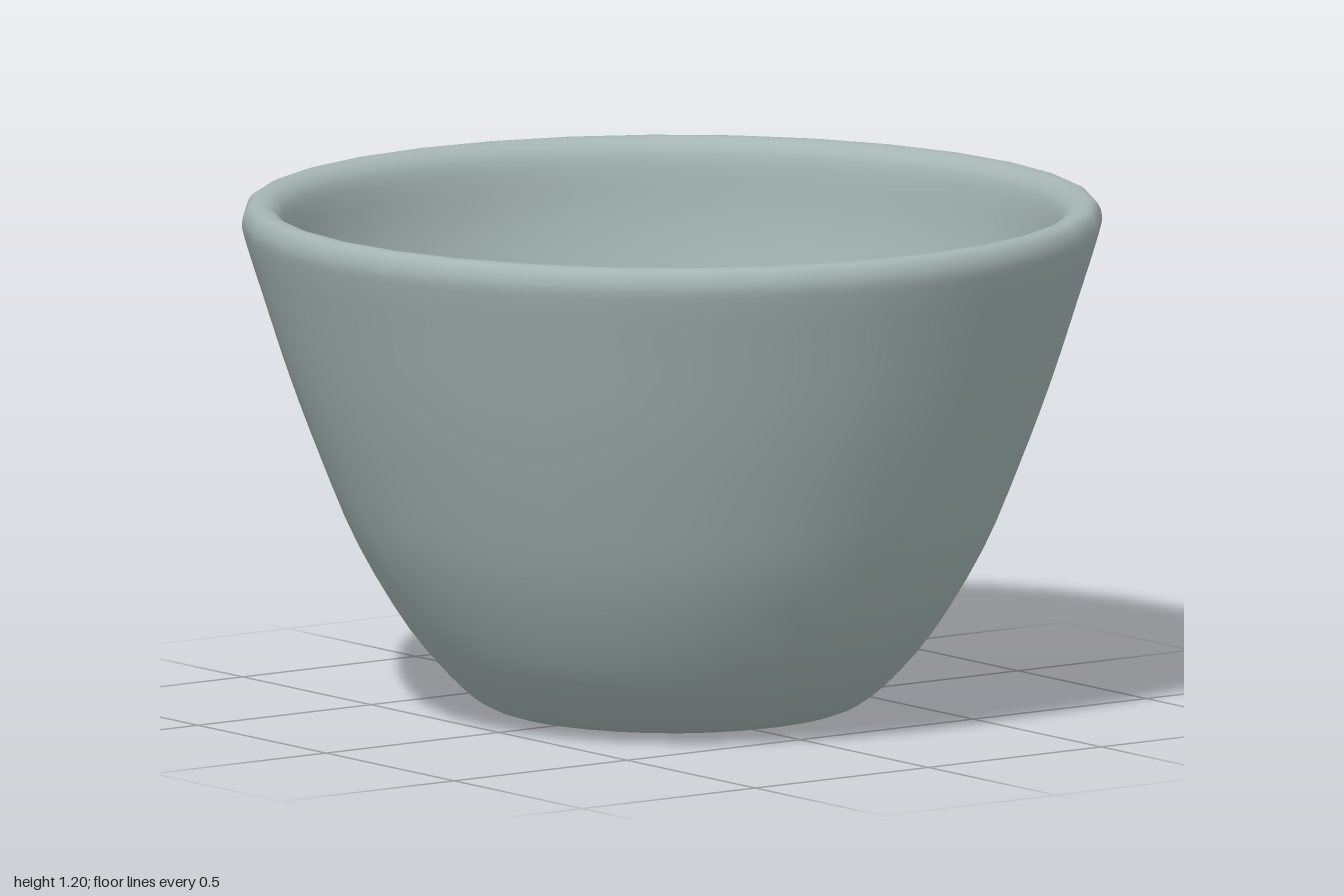
import * as THREE from 'three';

const V = (x, y) => new THREE.Vector2(x, y);

export function createModel() {
  const model = new THREE.Group();
  const add = (name, geometry, color, parent = model) => {
    const mesh = new THREE.Mesh(geometry, new THREE.MeshStandardMaterial({ color }));
    mesh.name = name;
    parent.add(mesh);
    return mesh;
  };

  // Bowl: outer wall, rounded lip and inner wall in one profile
  const profile = new THREE.SplineCurve([
    V(0.36, 0.008), V(0.43, 0.025), V(0.5, 0.075), V(0.61, 0.2), V(0.73, 0.4),
    V(0.815, 0.6), V(0.89, 0.8), V(0.955, 1.0), V(0.99, 1.11), V(1, 1.16),
    V(0.985, 1.195), V(0.955, 1.2), V(0.925, 1.185), V(0.905, 1.14),
    V(0.89, 1.0), V(0.84, 0.8), V(0.765, 0.6), V(0.67, 0.4), V(0.54, 0.2),
    V(0.4, 0.09), V(0.25, 0.06),
  ]);
  const points = [V(0, 0), V(0.25, 0.001), ...profile.getPoints(60), V(0, 0.06)];
  add('bowl', new THREE.LatheGeometry(points, 32), 0xa5b5b4);

  // Filling: flattened ellipsoid with a gently domed surface
  const filling = add('filling', new THREE.SphereGeometry(0.78, 20, 16), 0xd9bf88);
  filling.scale.y = 0.1 / 0.78;
  filling.position.y = 0.665;

  // Seeds: small flattened beads in a loose ring
  const seeds = new THREE.Group();
  seeds.name = 'seeds';
  model.add(seeds);
  const seedGeometry = new THREE.SphereGeometry(1, 8, 6);
  const spots = [
    [-0.11, -0.59], [0.4, -0.44], [0.57, -0.16], [0.47, 0.36],
    [0, 0.59], [-0.32, 0.5], [-0.59, 0.05], [-0.53, -0.28],
  ];
  for (const [x, z] of spots) {
    const seed = add('seed', seedGeometry, 0xd2c5a8, seeds);
    seed.scale.set(0.037, 0.018, 0.045);
    seed.position.set(x, 0.736, z);
  }
  return model;
}
